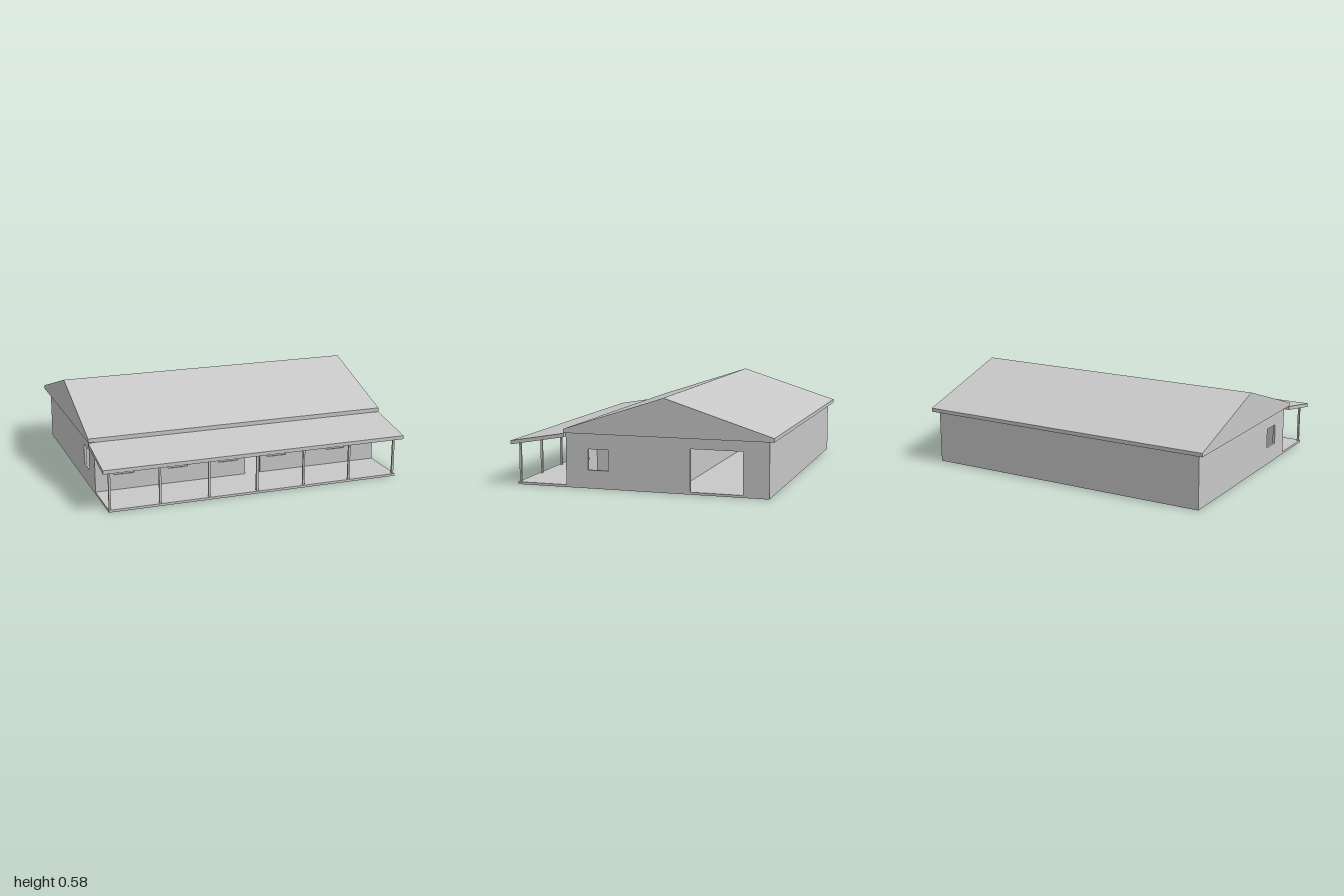
import * as THREE from 'three';

const plaster = new THREE.MeshStandardMaterial({ color: 0xc8c8c8 });
plaster.name = 'plain grey';

const HALF = 0.963, FRONT = 0.483, BACK = -0.805, WALL_TOP = 0.345, FLOOR = 0.015, T = 0.015;
const DOOR_TOP = 0.235, SILL = 0.115, WINDOW_TOP = 0.245;

export function createModel() {
  const house = new THREE.Group();
  house.name = 'house';

  const add = (name, geometry, x = 0, y = 0, z = 0) => {
    const mesh = new THREE.Mesh(geometry, plaster);
    mesh.name = name;
    mesh.position.set(x, y, z);
    house.add(mesh);
  };

  // Openings are [from, to, bottom, top] along the wall
  const windowAt = (a, b) => [a, b, SILL, WINDOW_TOP];
  const doorAt = (a) => [a, a + 0.105, FLOOR, DOOR_TOP];

  const panel = (a, b, openings) => {
    const shape = new THREE.Shape([
      new THREE.Vector2(a, 0), new THREE.Vector2(b, 0),
      new THREE.Vector2(b, WALL_TOP), new THREE.Vector2(a, WALL_TOP),
    ]);
    for (const [l, r, bottom, top] of openings) {
      shape.holes.push(new THREE.Path([
        new THREE.Vector2(l, bottom), new THREE.Vector2(l, top),
        new THREE.Vector2(r, top), new THREE.Vector2(r, bottom),
      ]));
    }
    return new THREE.ExtrudeGeometry(shape, { depth: T, bevelEnabled: false });
  };

  // Wall running along x, its rear face at z
  const wallX = (name, a, b, z, openings = []) => add(name, panel(a, b, openings), 0, 0, z);
  // Wall running along z, its left (+x) face at x
  const wallZ = (name, a, b, x, openings = []) =>
    add(name, panel(a, b, openings).rotateY(-Math.PI / 2), x, 0, 0);

  // Extrusion along x of a [z, y] outline
  const alongX = (points, halfLength) => {
    const shape = new THREE.Shape(points.map(([z, y]) => new THREE.Vector2(z, y)));
    return new THREE.ExtrudeGeometry(shape, { depth: halfLength * 2, bevelEnabled: false })
      .rotateY(-Math.PI / 2).translate(halfLength, 0, 0);
  };

  // Outer walls
  wallX('frontWall', -HALF, HALF, FRONT - T, [
    windowAt(-0.84, -0.71), windowAt(-0.485, -0.355), windowAt(-0.143, -0.01),
    doorAt(0.04), windowAt(0.195, 0.325), windowAt(0.62, 0.752),
  ]);
  wallX('backWall', -HALF, HALF, BACK);
  const sideWindow = windowAt(0.205, 0.337);
  wallZ('leftWall', BACK + T, FRONT - T, HALF, [sideWindow, [-0.645, -0.318, FLOOR, 0.277]]);
  wallZ('rightWall', BACK + T, FRONT - T, -HALF + T, [sideWindow]);

  // Inner partitions
  const inner = HALF - T;
  wallX('corridorWall', -inner, inner, 0.1,
    [doorAt(-0.91), doorAt(-0.39), doorAt(0.305), doorAt(0.735)]);
  wallX('garageWall', -inner, inner, -0.22);
  for (const x of [-0.58, -0.24, 0.48]) wallZ('roomWall', 0.1 + T, FRONT - T, x, [doorAt(0.285)]);

  // Floor slabs
  add('houseFloor', new THREE.BoxGeometry(inner * 2, FLOOR, FRONT - BACK - 2 * T),
    0, FLOOR / 2, (FRONT + BACK) / 2);
  add('porchFloor', new THREE.BoxGeometry(HALF * 2, FLOOR, 0.81 - FRONT),
    0, FLOOR / 2, (0.81 + FRONT) / 2);

  // Gabled main roof, flush at the front and overhanging elsewhere
  add('mainRoof', alongX([
    [FRONT + 0.002, WALL_TOP], [FRONT + 0.002, 0.369], [-0.163, 0.582],
    [-0.84, 0.369], [-0.84, WALL_TOP],
  ], 1));

  // Lean-to porch roof
  add('porchRoof', alongX([
    [FRONT, 0.318], [0.84, 0.257], [0.84, 0.281], [FRONT, 0.342],
  ], 1));

  // Porch posts
  for (let i = -3; i <= 3; i++) {
    add('porchPost', new THREE.BoxGeometry(0.013, 0.252, 0.013), i * 0.3175, FLOOR + 0.126, 0.794);
  }

  return house;
}
